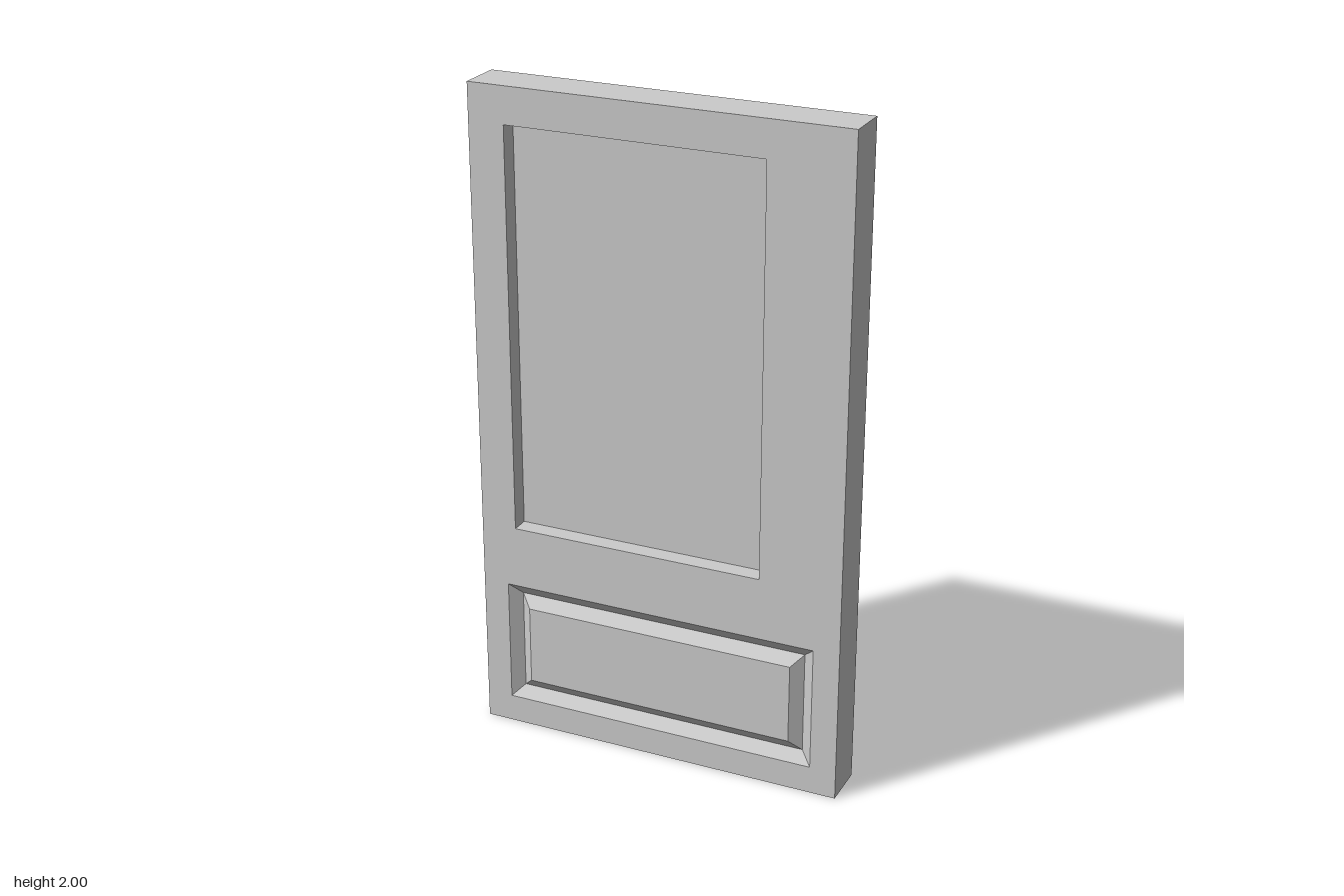
import * as THREE from 'three';

const material = new THREE.MeshStandardMaterial({
  color: 0xcccccc, side: THREE.DoubleSide, flatShading: true,
});

// Overall door size and opening rectangles: [x0, x1, y0, y1]
const OUTER = [-0.57, 0.57, 0, 2];
const UPPER = [-0.46, 0.32, 0.66, 1.89];
const LOWER = [-0.49, 0.49, 0.085, 0.47];
const FRONT = 0.07, BACK = -0.07;

const inset = ([x0, x1, y0, y1], d) => [x0 + d, x1 - d, y0 + d, y1 - d];

// Corners counter-clockwise from the bottom left; side 0 is the bottom
const corners = ([x0, x1, y0, y1], z = 0) =>
  [[x0, y0, z], [x1, y0, z], [x1, y1, z], [x0, y1, z]];

// Joins successive rectangles with flat quads; cap fills the last rectangle
function loft(name, sections, { sides = [0, 1, 2, 3], cap = true } = {}) {
  const rings = sections.map(([rect, z]) => corners(rect, z));
  const points = [];
  const quad = (a, b, c, d) => points.push(...a, ...b, ...c, ...a, ...c, ...d);
  for (let r = 0; r < rings.length - 1; r++) {
    for (const i of sides) {
      const j = (i + 1) % 4;
      quad(rings[r][i], rings[r][j], rings[r + 1][j], rings[r + 1][i]);
    }
  }
  if (cap) quad(...rings[rings.length - 1]);
  const geometry = new THREE.BufferGeometry();
  geometry.setAttribute('position', new THREE.Float32BufferAttribute(points, 3));
  geometry.computeVertexNormals();
  const mesh = new THREE.Mesh(geometry, material);
  mesh.name = name;
  return mesh;
}

export function createModel() {
  const door = new THREE.Group();
  door.name = 'door';

  // Front sheet with the two panel openings
  const outline = (rect) => corners(rect).map(([x, y]) => new THREE.Vector2(x, y));
  const shape = new THREE.Shape(outline(OUTER));
  for (const rect of [UPPER, LOWER]) shape.holes.push(new THREE.Path(outline(rect)));
  const face = new THREE.Mesh(new THREE.ShapeGeometry(shape), material);
  face.name = 'frontFace';
  face.position.z = FRONT;
  door.add(face);

  // Side and top edges; the back and the bottom stay open
  door.add(loft('edges', [[OUTER, BACK], [OUTER, FRONT]], { sides: [1, 2, 3], cap: false }));

  // Straight-sided upper recess
  door.add(loft('upperPanel', [[UPPER, FRONT], [UPPER, FRONT - 0.055]]));

  // Lower panel: a V groove around a raised field
  door.add(loft('lowerPanel', [
    [LOWER, FRONT],
    [inset(LOWER, 0.035), FRONT - 0.028],
    [inset(LOWER, 0.07), FRONT],
  ]));

  return door;
}
